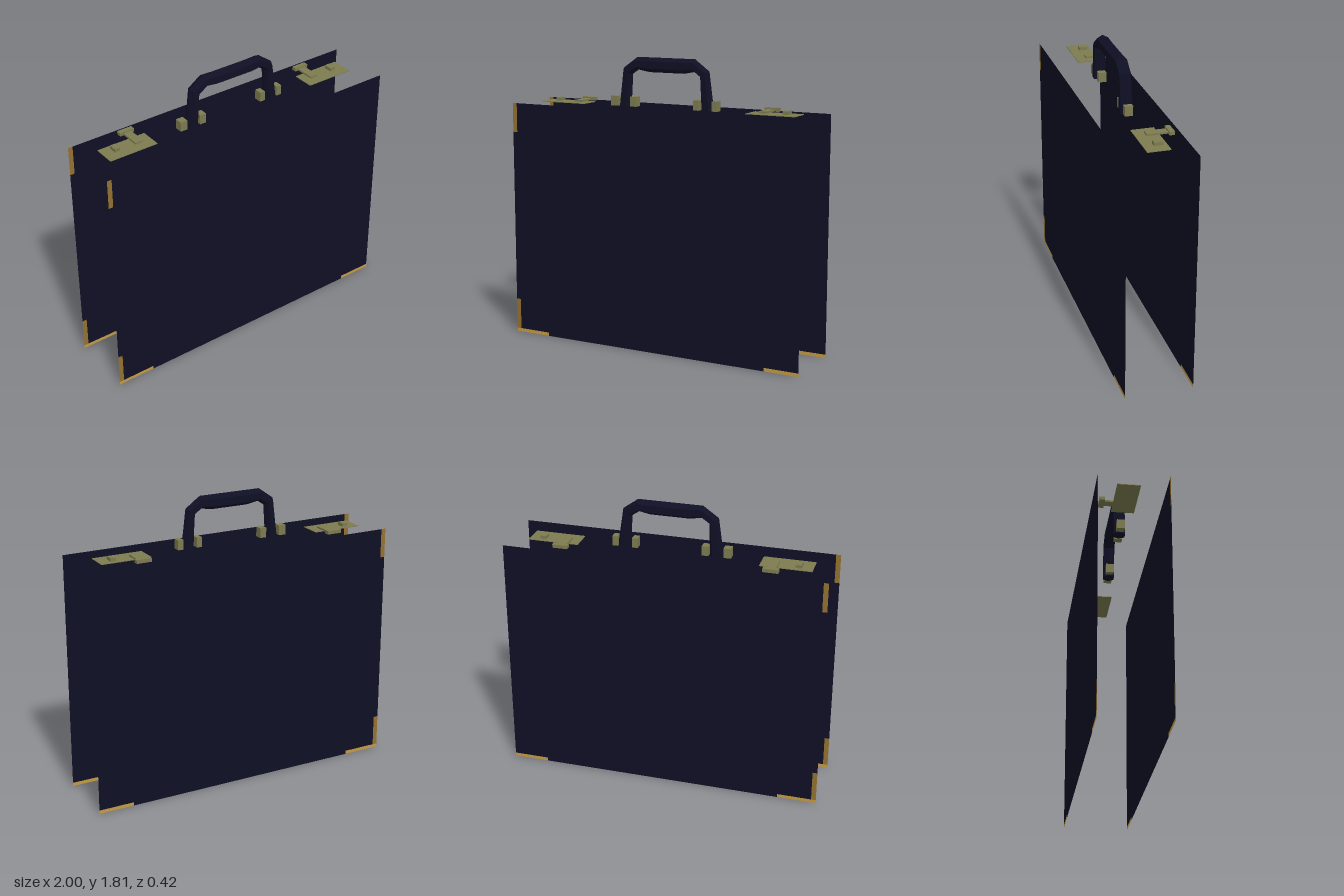
import * as THREE from 'three';

const flat = (color, name) => {
  const m = new THREE.MeshStandardMaterial({ color, side: THREE.DoubleSide });
  m.name = name;
  return m;
};

export function createModel() {
  const navy = flat(0x0f0f25, 'navy leather');
  const brass = flat(0xc39a42, 'bright brass');
  const darkBrass = flat(0x94712f, 'dark brass');
  const olive = flat(0x7c7b50, 'olive metal');
  const model = new THREE.Group();
  model.name = 'briefcase';

  const add = (name, geometry, material, parent = model) => {
    const mesh = new THREE.Mesh(geometry, material);
    mesh.name = name;
    parent.add(mesh);
    return mesh;
  };
  const box = (name, x0, x1, y0, y1, z0, z1, parent) => {
    const g = new THREE.BoxGeometry(x1 - x0, y1 - y0, z1 - z0);
    g.translate((x0 + x1) / 2, (y0 + y1) / 2, (z0 + z1) / 2);
    return add(name, g, olive, parent);
  };
  const sheet = (points) =>
    new THREE.ShapeGeometry(new THREE.Shape(points.map(([x, y]) => new THREE.Vector2(x, y))));
  const strip = (x0, x1, y0, y1) => sheet([[x0, y0], [x1, y0], [x1, y1], [x0, y1]]);

  // Front and back sheets, notched where the metal edging sits
  const top = 1.505, e = 0.03, b = 0.022;
  const panelShape = [
    [-1 + e, b], [-0.755, b], [-0.755, 0], [0.775, 0], [0.775, b], [1, b], [1, top],
    [-1 + e, top], [-1 + e, 1.32], [-1, 1.32], [-1, 0.22], [-1 + e, 0.22],
  ];
  for (const [name, z] of [['front', 0.21], ['back', -0.21]]) {
    const side = new THREE.Group();
    side.name = name + 'Side';
    side.position.z = z;
    model.add(side);
    add(name + 'Panel', sheet(panelShape), navy, side);
    add('upperEdging', strip(-1, -1 + e, 1.32, top), darkBrass, side);
    add('lowerEdging', strip(-1, -1 + e, b, 0.22), darkBrass, side);
    add('bottomEdgingRight', strip(-1, -0.755, 0, b), brass, side);
    add('bottomEdgingLeft', strip(0.775, 1, 0, b), brass, side);
  }

  // Handle: six-sided section swept between an outer and an inner outline
  const outer = [[-0.33, 1.505], [-0.297, 1.745], [-0.2, 1.813], [-0.115, 1.813],
    [0.125, 1.813], [0.2, 1.813], [0.294, 1.745], [0.33, 1.505]];
  const inner = [[-0.245, 1.505], [-0.238, 1.705], [-0.193, 1.735], [-0.115, 1.722],
    [0.125, 1.722], [0.195, 1.735], [0.238, 1.705], [0.245, 1.505]];
  const section = [[0, 0], [0.25, 0.035], [0.75, 0.035], [1, 0], [0.75, -0.035], [0.25, -0.035]];
  const rings = outer.map(([ox, oy], i) => section.map(([t, z]) =>
    [ox + (inner[i][0] - ox) * t, oy + (inner[i][1] - oy) * t, z]));
  const pos = [];
  const tri = (...pts) => pts.forEach((p) => pos.push(...p));
  for (let i = 0; i < rings.length - 1; i++) {
    for (let j = 0; j < 6; j++) {
      const k = (j + 1) % 6;
      const [a, c, d, f] = [rings[i][j], rings[i][k], rings[i + 1][k], rings[i + 1][j]];
      tri(a, c, d);
      tri(a, d, f);
    }
  }
  const last = rings[rings.length - 1];
  for (let j = 1; j < 5; j++) {
    tri(rings[0][0], rings[0][j + 1], rings[0][j]);
    tri(last[0], last[j], last[j + 1]);
  }
  const handle = new THREE.BufferGeometry();
  handle.setAttribute('position', new THREE.Float32BufferAttribute(pos, 3));
  handle.computeVertexNormals();
  add('handle', handle, navy);

  // Small blocks on both sides of each handle foot
  for (const [x0, x1] of [[-0.38, -0.333], [-0.242, -0.2], [0.2, 0.235], [0.325, 0.36]]) {
    box('handleBracket', x0, x1, top, 1.566, -0.025, 0.025);
  }

  // Latches: thin plate, sliding T-piece and button
  for (const s of [-1, 1]) {
    const latch = new THREE.Group();
    latch.name = s < 0 ? 'rightLatch' : 'leftLatch';
    model.add(latch);
    const part = (name, x0, x1, ...rest) =>
      box(name, Math.min(s * x0, s * x1), Math.max(s * x0, s * x1), ...rest, latch);
    part('latchPlate', 0.563, 0.88, 1.506, 1.51, -0.085, 0.055);
    part('slideStem', 0.62, 0.672, 1.51, 1.521, -0.135, -0.008);
    part('slideBar', 0.6, 0.695, 1.508, 1.53, -0.167, -0.135);
    part('latchButton', 0.776, 0.812, 1.51, 1.53, -0.06, -0.006);
  }
  return model;
}
